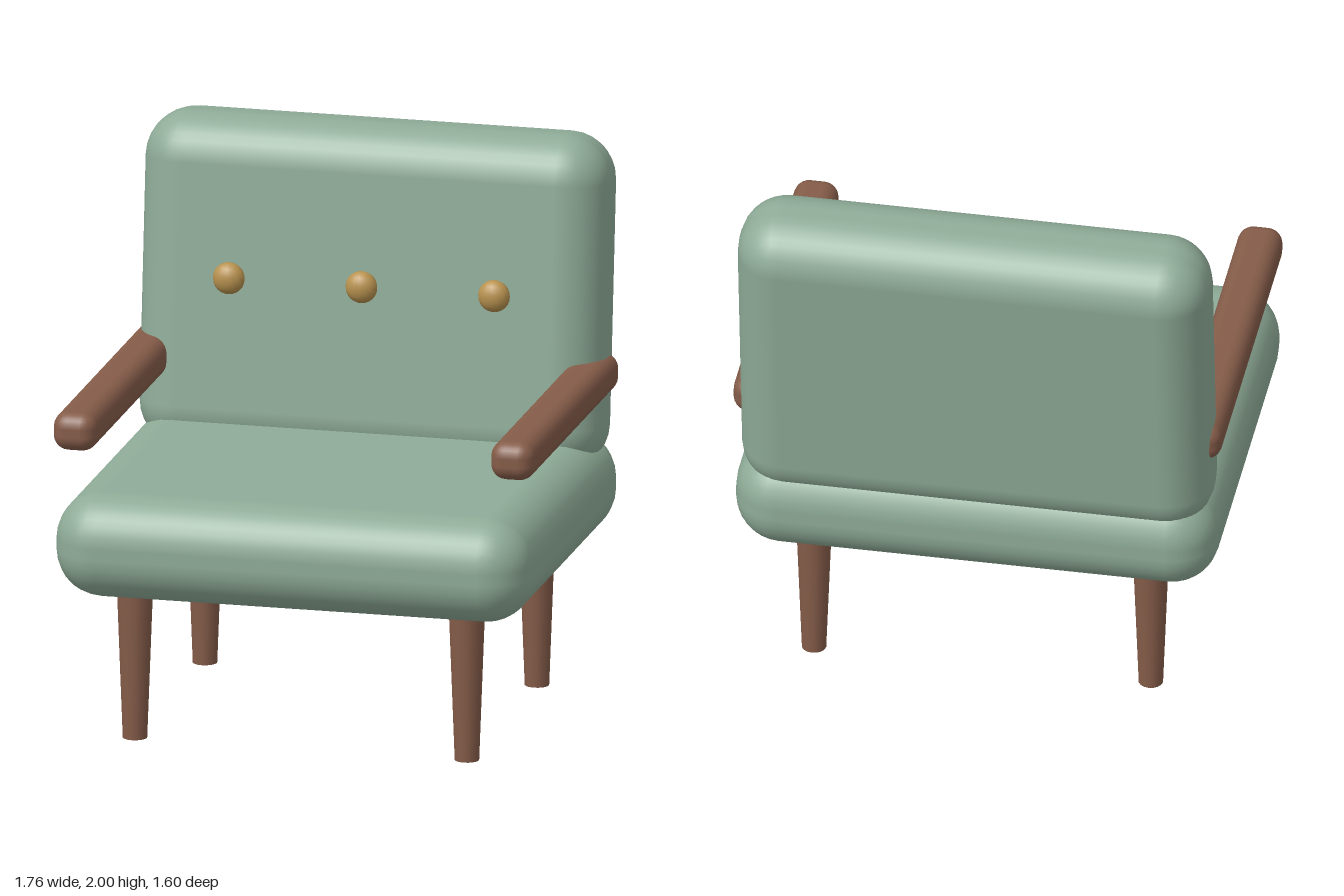
import * as THREE from 'three';
import { RoundedBoxGeometry } from 'three/addons/geometries/RoundedBoxGeometry.js';

const material = (name, color) => {
  const m = new THREE.MeshStandardMaterial({ color });
  m.name = name;
  return m;
};

export function createModel() {
  const fabric = material('sage fabric', 0x8fac98);
  const wood = material('brown wood', 0x855c49);
  const brass = material('brass', 0xb8924f);

  const chair = new THREE.Group();
  chair.name = 'armchair';
  const add = (name, geometry, mat, x, y, z) => {
    const mesh = new THREE.Mesh(geometry, mat);
    mesh.name = name;
    mesh.position.set(x, y, z);
    chair.add(mesh);
    return mesh;
  };

  // Cushions: the backrest leans backwards and sinks into the seat
  add('seat', new RoundedBoxGeometry(1.74, 0.38, 1.52, 4, 0.17), fabric, 0, 0.73, 0.04);
  const back = add('backrest', new RoundedBoxGeometry(1.7, 1.22, 0.38, 4, 0.17), fabric, 0, 1.39, -0.565);
  back.rotation.x = -0.1;

  // Armrests and tapered legs, mirrored left and right
  const armGeometry = new RoundedBoxGeometry(0.16, 0.14, 1.31, 3, 0.055);
  const legGeometry = new THREE.CylinderGeometry(0.066, 0.044, 0.58, 16);
  for (const [side, s] of [['left', 1], ['right', -1]]) {
    add(`${side}Armrest`, armGeometry, wood, s * 0.8, 1.14, 0.045);
    add(`${side}FrontLeg`, legGeometry, wood, s * 0.607, 0.29, 0.555);
    add(`${side}BackLeg`, legGeometry, wood, s * 0.607, 0.29, -0.465);
  }

  // Row of flattened buttons in front of the backrest
  const buttonGeometry = new THREE.SphereGeometry(0.058, 16, 12);
  for (const x of [-0.485, 0, 0.485]) {
    add('button', buttonGeometry, brass, x, 1.46, -0.325).scale.z = 0.73;
  }

  return chair;
}
